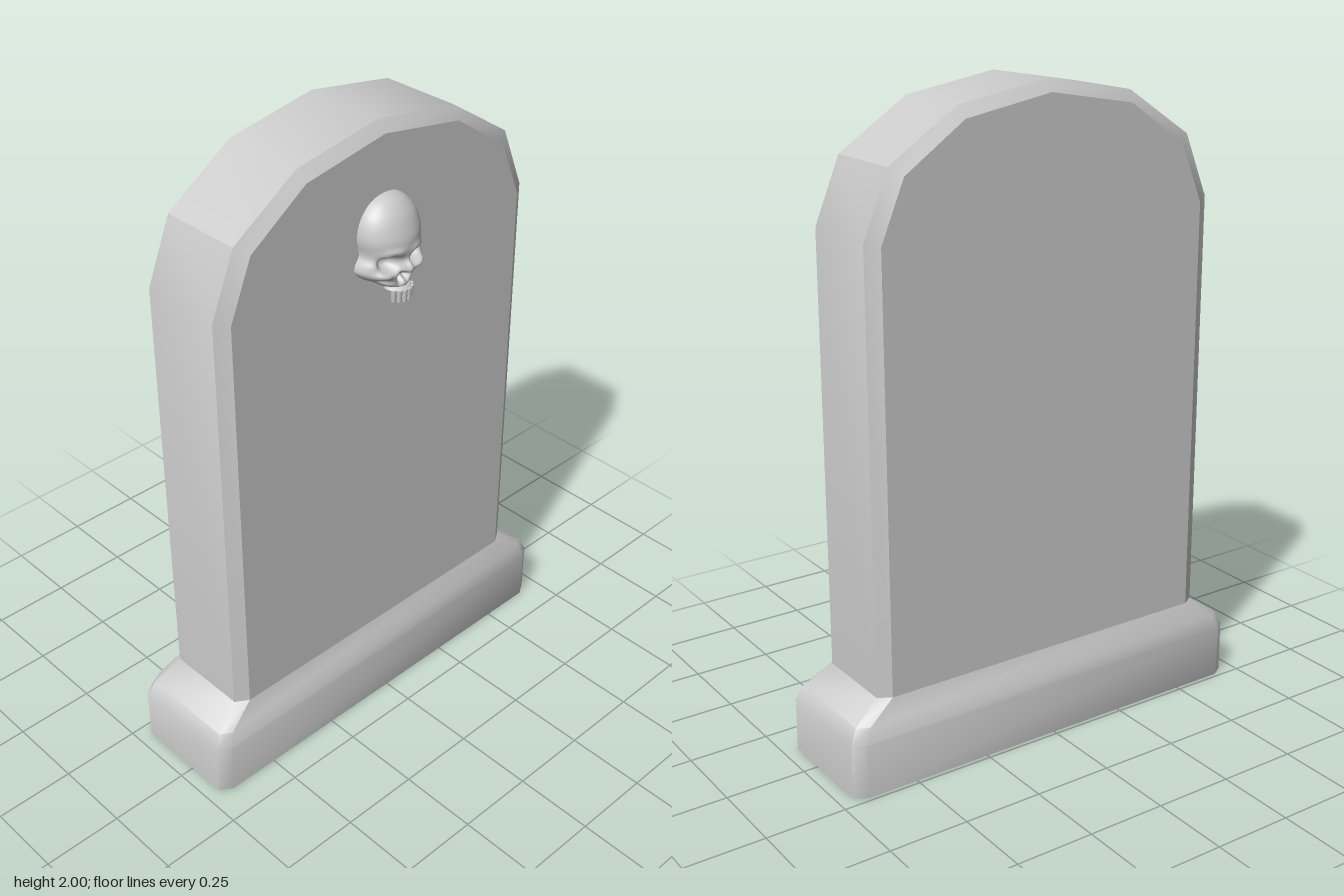
import * as THREE from 'three';
import { toCreasedNormals } from 'three/addons/utils/BufferGeometryUtils.js';

const material = new THREE.MeshStandardMaterial({ color: 0xcccccc, side: THREE.DoubleSide });

// Joins rows of [x, y, z] points into a skin; closed rows wrap around
function loft(rows, closed = false) {
  const n = rows[0].length, index = [];
  for (let i = 0; i < rows.length - 1; i++) {
    for (let j = 0; j < (closed ? n : n - 1); j++) {
      const k = (j + 1) % n;
      const a = i * n + j, b = i * n + k, c = a + n, d = b + n;
      index.push(a, b, d, a, d, c);
    }
  }
  const g = new THREE.BufferGeometry();
  g.setAttribute('position', new THREE.Float32BufferAttribute(rows.flat(2), 3));
  g.setIndex(index);
  return g;
}

function addMesh(parent, name, geometry) {
  const mesh = new THREE.Mesh(geometry, material);
  mesh.name = name;
  parent.add(mesh);
  return mesh;
}

// Right half of an arch mirrored to a full outline, counterclockwise
const mirror = half => [...half, ...half.slice(0, -1).reverse().map(([x, y]) => [-x, y])];

function buildSlab(group) {
  const outer = mirror([[0.595, 0.275], [0.595, 1.61], [0.515, 1.805], [0.295, 1.95], [0, 2]]);
  const inner = mirror([[0.555, 0.275], [0.555, 1.6], [0.48, 1.78], [0.285, 1.915], [0, 1.965]]);
  const at = (outline, z) => outline.map(([x, y]) => [x, y, z]);
  const rim = loft([at(inner, -0.2), at(outer, -0.175), at(outer, 0.088), at(inner, 0.115)]);
  addMesh(group, 'slabRim', toCreasedNormals(rim, 0.55));

  const face = () => new THREE.ShapeGeometry(new THREE.Shape(inner.map(p => new THREE.Vector2(...p))));
  addMesh(group, 'slabFront', face().translate(0, 0, 0.115));
  addMesh(group, 'slabBack', face().rotateY(Math.PI).translate(0, 0, -0.2));
}

function buildBase(group) {
  // Each level: height, outer and chamfered x, outer and chamfered half depth
  const levels = [
    [0, 0.703, 0.665, 0.194, 0.17],
    [0.17, 0.703, 0.665, 0.194, 0.17],
    [0.215, 0.68, 0.645, 0.18, 0.158],
    [0.275, 0.595, 0.555, 0.1575, 0.1315],
  ];
  const rows = levels.map(([y, xo, xi, zo, zi]) =>
    [[xo, zi], [xo, -zi], [xi, -zo], [-xi, -zo], [-xo, -zi], [-xo, zi], [-xi, zo], [xi, zo]]
      .map(([x, z]) => [x, y, z - 0.0425]));
  addMesh(group, 'base', toCreasedNormals(loft(rows, true), 0.65));
}

function buildSkull(group) {
  const skull = new THREE.Group();
  skull.name = 'skull';
  group.add(skull);

  // Half width, height, depth from jaw to crown
  const profile = new THREE.CatmullRomCurve3([
    [0.04, 1.522, 0.075], [0.046, 1.535, 0.085], [0.068, 1.55, 0.088], [0.098, 1.568, 0.09],
    [0.115, 1.59, 0.093], [0.112, 1.61, 0.095], [0.098, 1.635, 0.1], [0.105, 1.68, 0.1],
    [0.103, 1.71, 0.092], [0.09, 1.745, 0.077], [0.063, 1.775, 0.053], [0.033, 1.79, 0.03], [0, 1.795, 0.01],
  ].map(p => new THREE.Vector3(...p)));

  // Raised and sunken features: x, y, radius x, radius y, height
  const features = [
    [-0.047, 1.617, 0.029, 0.024, -0.045], [0.047, 1.617, 0.029, 0.024, -0.045], // eye sockets
    [-0.012, 1.568, 0.012, 0.017, -0.03], [0.012, 1.568, 0.012, 0.017, -0.03], // nose opening
    [0, 1.6, 0.012, 0.02, 0.024], // nose bridge
    [-0.045, 1.65, 0.03, 0.011, 0.009], [0.045, 1.65, 0.03, 0.011, 0.009], // brows
    [-0.07, 1.585, 0.025, 0.012, 0.012], [0.07, 1.585, 0.025, 0.012, 0.012], // cheekbones
    [-0.06, 1.555, 0.02, 0.013, -0.025], [0.06, 1.555, 0.02, 0.013, -0.025], // cheek hollows
  ];
  const rows = profile.getPoints(64).map(({ x: w, y, z: d }) =>
    Array.from({ length: 65 }, (_, j) => {
      const t = Math.PI * j / 64;
      const x = -Math.max(w, 0) * Math.cos(t);
      let z = 0.11 + d * Math.sin(t) ** 0.9;
      for (const [cx, cy, rx, ry, h] of features) {
        const r = ((x - cx) / rx) ** 2 + ((y - cy) / ry) ** 2;
        z += h * Math.exp(-(r ** 1.5));
      }
      return [x, y, Math.max(z, 0.11)];
    }));
  const head = loft(rows);
  head.computeVertexNormals();
  addMesh(skull, 'cranium', head);

  // Upper jaw floor and a curved row of teeth
  const palate = addMesh(skull, 'palate', new THREE.SphereGeometry(1, 24, 12));
  palate.scale.set(0.042, 0.014, 0.038);
  palate.position.set(0, 1.528, 0.168);
  for (let i = 0; i < 6; i++) {
    const a = (i - 2.5) * 0.42;
    const tooth = addMesh(skull, 'tooth', new THREE.CylinderGeometry(0.009, 0.007, 0.036, 8));
    tooth.position.set(0.038 * Math.sin(a), 1.513, 0.168 + 0.037 * Math.cos(a));
  }
}

export function createModel() {
  const group = new THREE.Group();
  group.name = 'gravestone';
  buildBase(group);
  buildSlab(group);
  buildSkull(group);
  return group;
}
